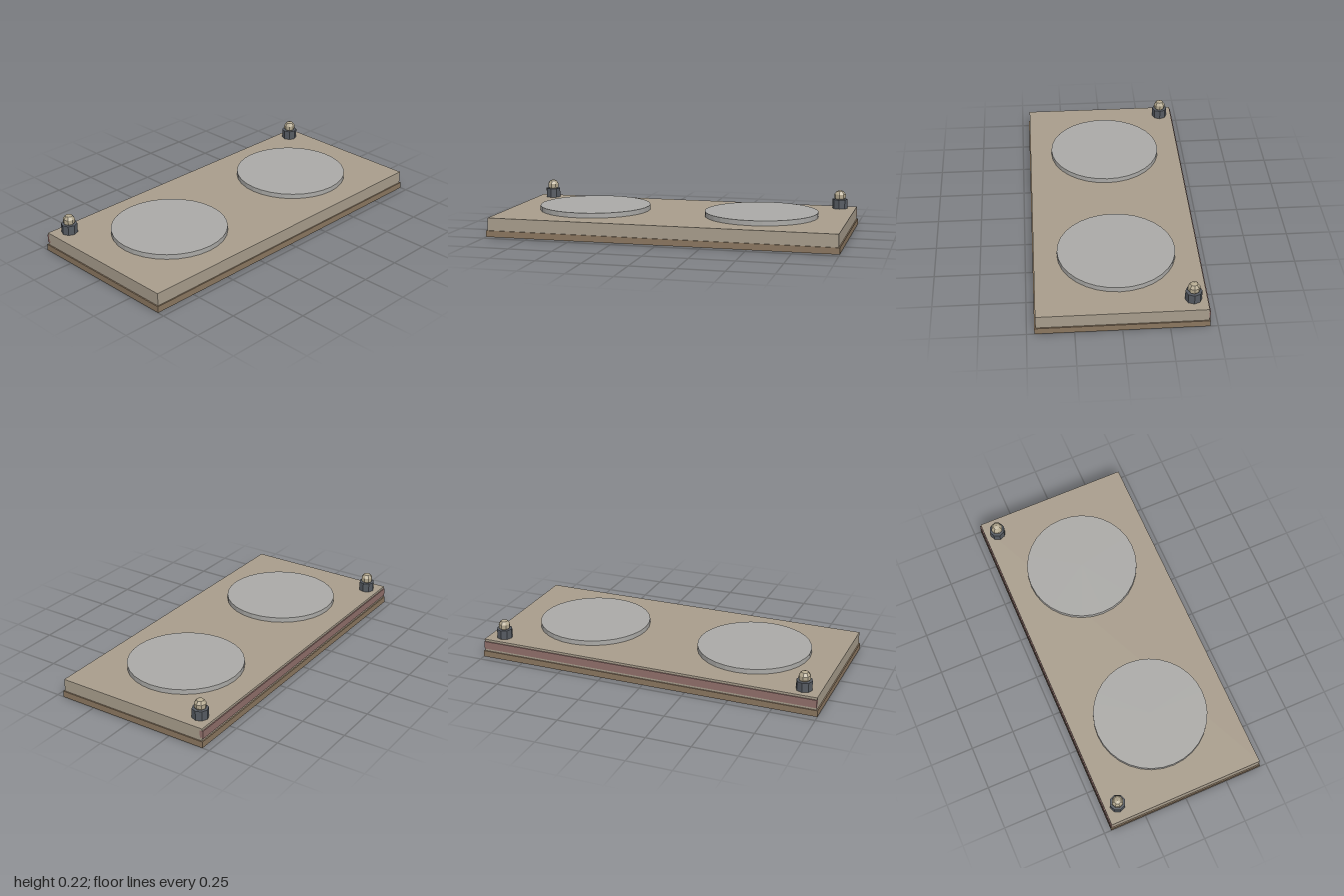
import * as THREE from 'three';

const paint = (color) => new THREE.MeshStandardMaterial({ color, flatShading: true });

function add(parent, name, geometry, material, x, y, z) {
  const mesh = new THREE.Mesh(geometry, material);
  mesh.name = name;
  mesh.position.set(x, y, z);
  parent.add(mesh);
  return mesh;
}

// Box standing between two heights
const slab = (w, y0, y1, d) => new THREE.BoxGeometry(w, y1 - y0, d).translate(0, (y0 + y1) / 2, 0);

export function createModel() {
  const model = new THREE.Group();
  model.name = 'twinPlatePanel';

  const brown = paint(0x8b7760);
  const tan = paint(0xa89d8c);
  const grey = paint(0xabaaa7);
  const steel = paint(0x565b62);
  const brass = paint(0xb3a88f);
  const red = paint(0x91706b);

  // Stacked slabs and the strip along the back edge
  add(model, 'base', slab(2, 0, 0.036, 0.918), brown, 0, 0, 0);
  add(model, 'body', slab(1.986, 0.036, 0.108, 0.904), tan, 0, 0, 0);
  add(model, 'backStrip', slab(1.986, 0.05, 0.095, 0.02), red, 0, 0, -0.448);

  const discShape = new THREE.CylinderGeometry(0.324, 0.324, 0.028, 32);
  const nutShape = new THREE.CylinderGeometry(0.045, 0.045, 0.054, 8);
  const domeShape = new THREE.SphereGeometry(0.035, 8, 5);

  for (const [side, s] of [['left', 1], ['right', -1]]) {
    // Round raised plate
    add(model, `${side}Disc`, discShape, grey, s * 0.497, 0.122, 0);

    // Rear corner post with a domed cap
    const post = new THREE.Group();
    post.name = `${side}Post`;
    post.position.set(s * 0.9, 0.108, -0.378);
    add(post, 'nut', nutShape, steel, 0, 0.027, 0);
    add(post, 'domeCap', domeShape, brass, 0, 0.073, 0);
    model.add(post);
  }
  return model;
}
